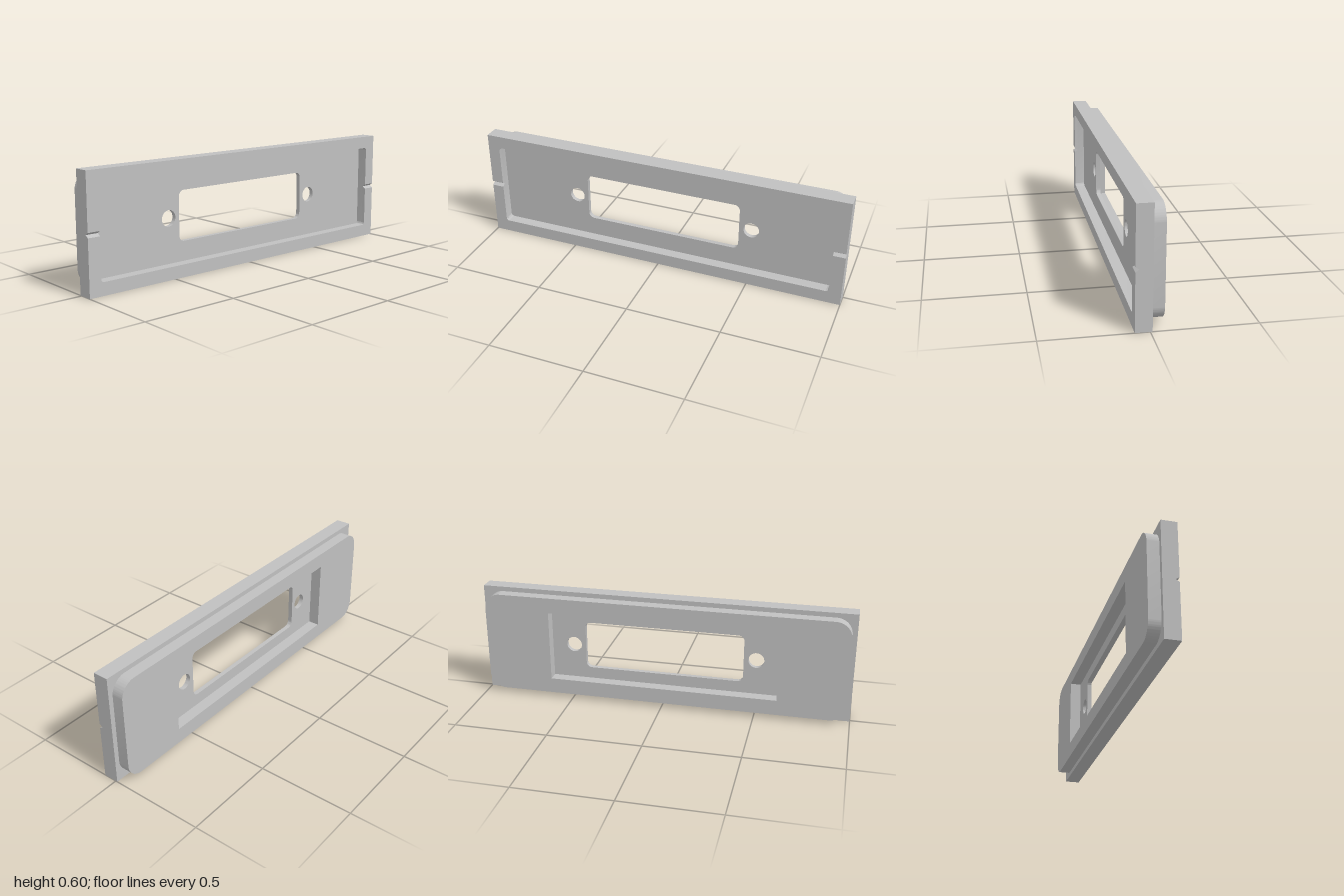
import * as THREE from 'three';
import { toCreasedNormals } from 'three/addons/utils/BufferGeometryUtils.js';

const MID = 0.3; // height of the centre line

// Rectangle centred on (0, cy) with rounded (or sharp) corners
function rect(Type, w, h, r, cy = MID) {
  const p = new Type();
  const a = w / 2, b = cy - h / 2, t = cy + h / 2;
  if (r === 0) {
    p.moveTo(-a, b).lineTo(a, b).lineTo(a, t).lineTo(-a, t).closePath();
    return p;
  }
  p.moveTo(-a + r, b).lineTo(a - r, b);
  p.absarc(a - r, b + r, r, -Math.PI / 2, 0);
  p.lineTo(a, t - r);
  p.absarc(a - r, t - r, r, 0, Math.PI / 2);
  p.lineTo(-a + r, t);
  p.absarc(-a + r, t - r, r, Math.PI / 2, Math.PI);
  p.lineTo(-a, b + r);
  p.absarc(-a + r, b + r, r, Math.PI, Math.PI * 1.5);
  return p;
}

// Extrude an outline along x between x0 and x1
function slab(shape, x0, x1) {
  const g = new THREE.ExtrudeGeometry(shape, { depth: x1 - x0, bevelEnabled: false, curveSegments: 16 });
  return g.rotateY(Math.PI / 2).translate(x0, 0, 0);
}

export function createModel() {
  const group = new THREE.Group();
  const grey = new THREE.MeshStandardMaterial({ color: 0xc0c0c0 });
  grey.name = 'plain grey';

  const add = (name, geometry) => {
    const mesh = new THREE.Mesh(toCreasedNormals(geometry, Math.PI / 6), grey);
    mesh.name = name;
    group.add(mesh);
  };

  const back = -0.07, step = -0.01, floor = 0.014, notchBottom = 0.052, front = 0.07;
  const recessW = 1.87, recessH = 0.466, recessR = 0.017;

  // Rounded rear plate with a sharp-cornered pocket
  const plate = rect(THREE.Shape, 1.95, 0.55, 0.085);
  plate.holes.push(rect(THREE.Path, 1.236, 0.384, 0));
  add('rearPlate', slab(plate, back, step));

  // Thin panel with the connector window and two screw holes
  const panel = rect(THREE.Shape, 2, 0.6, 0);
  panel.holes.push(rect(THREE.Path, 0.862, 0.262, 0.03, 0.302));
  for (const s of [-1, 1]) {
    panel.holes.push(new THREE.Path().absarc(s * 0.497, MID, 0.042, 0, Math.PI * 2));
  }
  add('panel', slab(panel, step, floor));

  // Raised rim around the front recess, up to the bottom of the notches
  const rim = rect(THREE.Shape, 2, 0.6, 0);
  rim.holes.push(rect(THREE.Path, recessW, recessH, recessR));
  add('rim', slab(rim, floor, notchBottom));

  // Outer layer of the rim in two halves, whose sloped ends form the V notches
  const a = recessW / 2, b = MID - recessH / 2, r = recessR;
  for (const side of [-1, 1]) {
    const y = (v) => (side < 0 ? v : 0.6 - v);
    const half = new THREE.Shape();
    half.moveTo(-1, y(0)).lineTo(1, y(0)).lineTo(1, MID).lineTo(a, MID).lineTo(a, y(b + r));
    half.quadraticCurveTo(a, y(b), a - r, y(b));
    half.lineTo(-a + r, y(b));
    half.quadraticCurveTo(-a, y(b), -a, y(b + r));
    half.lineTo(-a, MID).lineTo(-1, MID).closePath();
    const g = slab(half, notchBottom, front);
    const p = g.attributes.position;
    for (let i = 0; i < p.count; i++) {
      if (p.getX(i) > front - 0.001 && Math.abs(p.getY(i) - MID) < 0.001) {
        p.setY(i, MID + side * 0.0125);
      }
    }
    add(side < 0 ? 'lowerRimFace' : 'upperRimFace', g);
  }

  return group;
}
